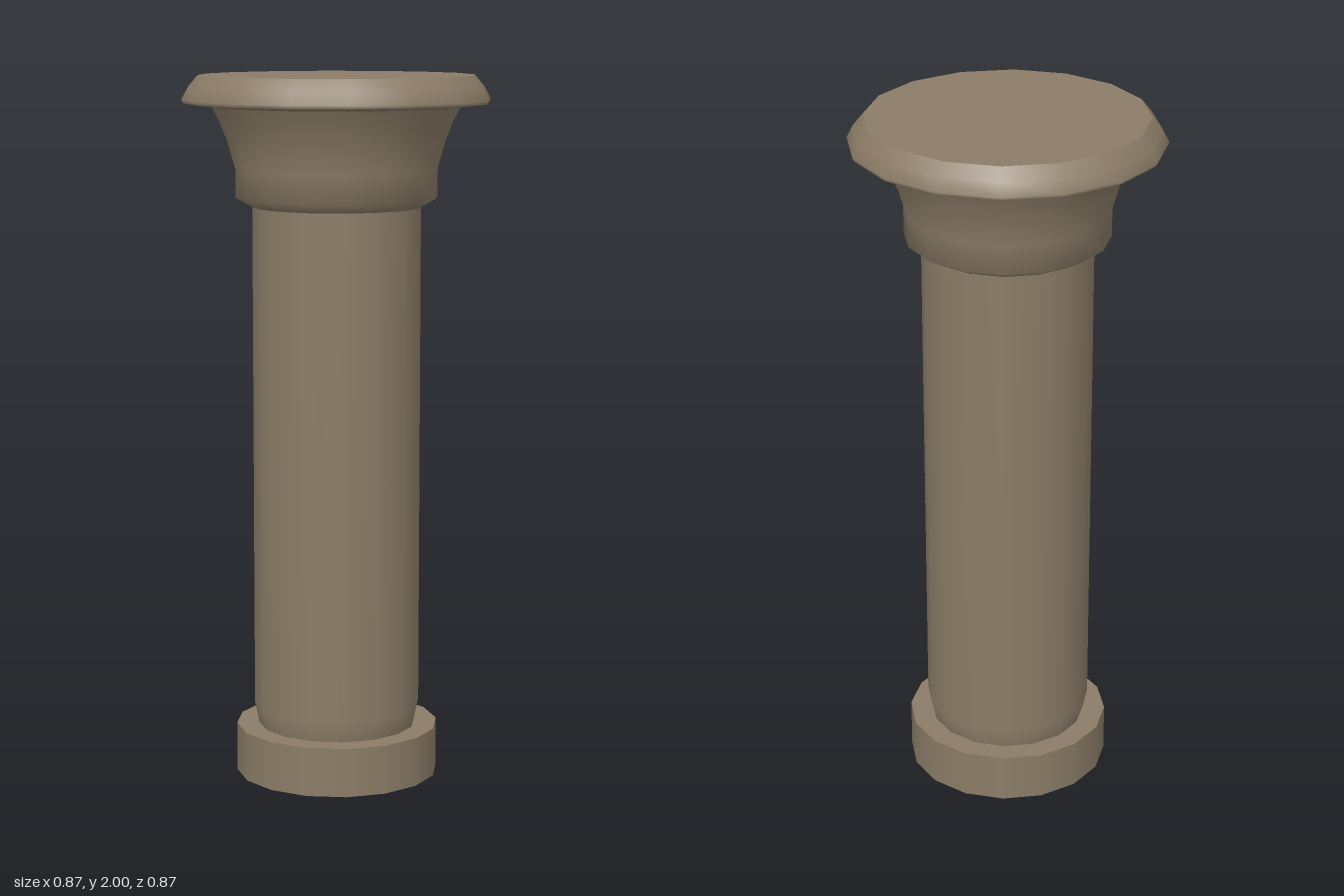
import * as THREE from 'three';

const SIDES = 16;

export function createModel() {
  const group = new THREE.Group();
  group.name = 'column';
  const stone = new THREE.MeshStandardMaterial({ color: 0x8b7c67, side: THREE.DoubleSide });
  stone.name = 'warm stone';

  // Each profile runs upwards (radius, height); separate profiles keep sharp edges between them
  const turn = (name, ...profiles) => {
    const part = new THREE.Group();
    part.name = name;
    profiles.forEach((profile, i) => {
      const points = profile.map(([r, y]) => new THREE.Vector2(r, y));
      const mesh = new THREE.Mesh(new THREE.LatheGeometry(points, SIDES), stone);
      mesh.name = `${name}Surface${i + 1}`;
      part.add(mesh);
    });
    group.add(part);
  };

  // Base ring, open underneath, with a ledge around the shaft
  turn('base',
    [[0.29, 0], [0.29, 0.14]],
    [[0.29, 0.14], [0.225, 0.14]]);

  // Hollow shaft, slightly drawn in at the foot
  turn('shaft', [[0.225, 0.14], [0.238, 0.2], [0.238, 1.64]]);

  // Flared bell under the cap
  turn('capital', [
    [0.238, 1.633], [0.285, 1.66], [0.285, 1.74],
    [0.308, 1.82], [0.328, 1.87], [0.35, 1.913],
  ]);

  // Cap slab with chamfered rim
  turn('cap',
    [[0.35, 1.913], [0.428, 1.922]],
    [[0.428, 1.922], [0.434, 1.932], [0.415, 1.968], [0.388, 2]],
    [[0.388, 2], [0, 2]]);

  return group;
}
